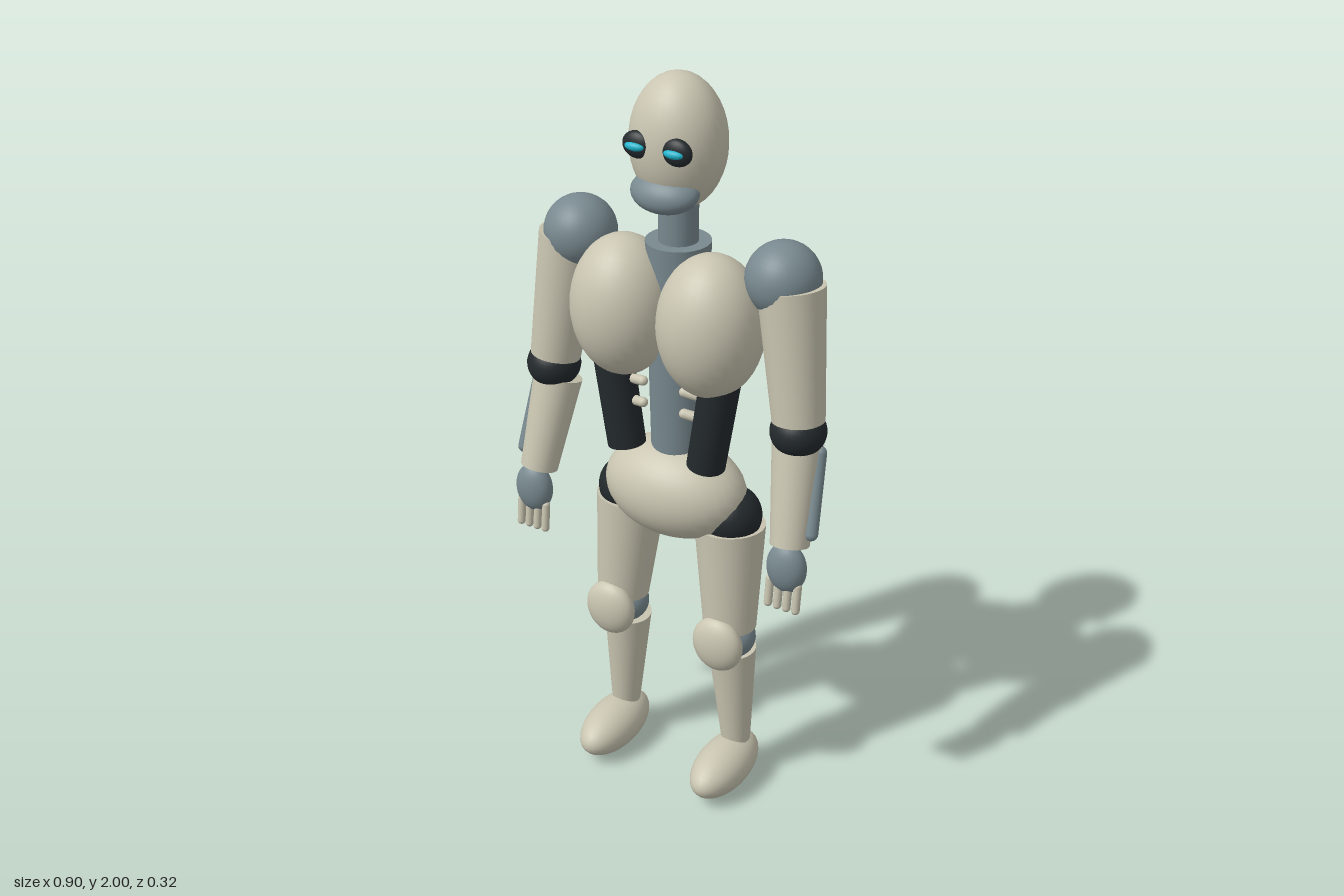
import * as THREE from 'three';

const paint = (color) => new THREE.MeshStandardMaterial({ color });
const shell = paint(0xc9c5b1), metal = paint(0x78898f), dark = paint(0x23292c), glow = paint(0x1fb4cc);

export function createModel() {
  const root = new THREE.Group();
  root.name = 'humanoidRobot';

  function add(parent, name, geometry, material) {
    const mesh = new THREE.Mesh(geometry, material);
    mesh.name = name;
    parent.add(mesh);
    return mesh;
  }
  function ellipsoid(parent, name, material, pos, radii, tilt = 0) {
    const mesh = add(parent, name, new THREE.SphereGeometry(1, 32, 20), material);
    mesh.position.set(...pos);
    mesh.scale.set(...radii);
    mesh.rotation.x = tilt;
    return mesh;
  }
  // Turns a y-aligned mesh so that it runs from a (bottom) to b (top)
  function align(mesh, a, b) {
    const dir = b.clone().sub(a).normalize();
    mesh.quaternion.setFromUnitVectors(new THREE.Vector3(0, 1, 0), dir);
    mesh.position.copy(a).lerp(b, 0.5);
    return mesh;
  }
  function limb(parent, name, material, top, bottom, rTop, rBottom) {
    const a = new THREE.Vector3(...bottom), b = new THREE.Vector3(...top);
    return align(add(parent, name, new THREE.CylinderGeometry(rTop, rBottom, a.distanceTo(b), 32), material), a, b);
  }
  function capsule(parent, name, material, top, bottom, r) {
    const a = new THREE.Vector3(...bottom), b = new THREE.Vector3(...top);
    return align(add(parent, name, new THREE.CapsuleGeometry(r, a.distanceTo(b) - 2 * r, 6, 16), material), a, b);
  }

  // Head and neck
  const head = new THREE.Group();
  head.name = 'head';
  root.add(head);
  ellipsoid(head, 'skull', shell, [0, 1.832, -0.03], [0.122, 0.168, 0.113]);
  ellipsoid(head, 'jaw', metal, [0, 1.725, 0.033], [0.09, 0.046, 0.062], 0.45);
  limb(head, 'neck', metal, [0, 1.72, -0.03], [0, 1.56, -0.03], 0.05, 0.05);

  // Torso core, pelvis and back ribs
  const torso = new THREE.Group();
  torso.name = 'torso';
  root.add(torso);
  limb(torso, 'spineColumn', metal, [0, 1.58, -0.03], [0, 0.96, -0.03], 0.082, 0.068);
  ellipsoid(torso, 'pelvis', shell, [0, 0.892, -0.02], [0.2, 0.135, 0.135]);
  for (let i = 0; i < 5; i++) {
    ellipsoid(torso, 'backRib', shell, [0, 1.44 - i * 0.101, -0.113], [0.098, 0.027, 0.047]);
  }

  for (const s of [1, -1]) {
    const side = s > 0 ? 'left' : 'right';

    // Eye
    ellipsoid(head, side + 'EyeSocket', dark, [s * 0.053, 1.842, 0.067], [0.041, 0.034, 0.02]);
    ellipsoid(head, side + 'EyeLens', glow, [s * 0.053, 1.842, 0.083], [0.026, 0.011, 0.012]);

    // Chest and waist
    ellipsoid(torso, side + 'ChestShell', shell, [s * 0.125, 1.4, 0.025], [0.136, 0.186, 0.134]);
    limb(torso, side + 'WaistPillar', dark, [s * 0.163, 1.3, 0.03], [s * 0.118, 1.01, 0.03], 0.052, 0.05);
    for (const y of [1.206, 1.145]) {
      capsule(torso, 'frontRibTip', shell, [s * 0.048, y + 0.005, 0.045], [s * 0.104, y - 0.005, 0.03], 0.013);
    }

    // Arm
    const arm = new THREE.Group();
    arm.name = side + 'Arm';
    root.add(arm);
    ellipsoid(arm, 'shoulder', metal, [s * 0.288, 1.541, -0.034], [0.094, 0.094, 0.094]);
    limb(arm, 'upperArm', shell, [s * 0.312, 1.53, -0.03], [s * 0.357, 1.19, -0.005], 0.084, 0.066);
    ellipsoid(arm, 'elbow', dark, [s * 0.36, 1.165, 0], [0.071, 0.064, 0.071]);
    limb(arm, 'forearm', shell, [s * 0.355, 1.125, -0.01], [s * 0.378, 0.875, 0.06], 0.065, 0.05);
    capsule(arm, 'forearmPiston', metal, [s * 0.413, 1.13, -0.018], [s * 0.432, 0.9, 0.055], 0.018);
    ellipsoid(arm, 'hand', metal, [s * 0.382, 0.82, 0.08], [0.054, 0.07, 0.037]);
    for (let i = 0; i < 4; i++) {
      const x = s * (0.341 + i * 0.026);
      capsule(arm, 'finger', shell, [x, 0.79, 0.087], [x, 0.7, 0.097], 0.011);
    }

    // Leg
    const leg = new THREE.Group();
    leg.name = side + 'Leg';
    root.add(leg);
    ellipsoid(leg, 'hip', dark, [s * 0.157, 0.84, -0.038], [0.08, 0.08, 0.082]);
    limb(leg, 'thigh', shell, [s * 0.151, 0.81, -0.043], [s * 0.168, 0.51, -0.02], 0.094, 0.071);
    ellipsoid(leg, 'kneeJoint', metal, [s * 0.168, 0.475, -0.025], [0.07, 0.064, 0.062]);
    ellipsoid(leg, 'kneeCap', shell, [s * 0.168, 0.485, 0.045], [0.073, 0.08, 0.04]);
    limb(leg, 'shin', shell, [s * 0.166, 0.425, -0.04], [s * 0.18, 0.12, -0.045], 0.065, 0.04);
    capsule(leg, 'calfStrut', dark, [s * 0.168, 0.4, -0.09], [s * 0.18, 0.11, -0.09], 0.017);
    ellipsoid(leg, 'foot', shell, [s * 0.18, 0.068, 0.017], [0.073, 0.068, 0.144]);
  }
  return root;
}
